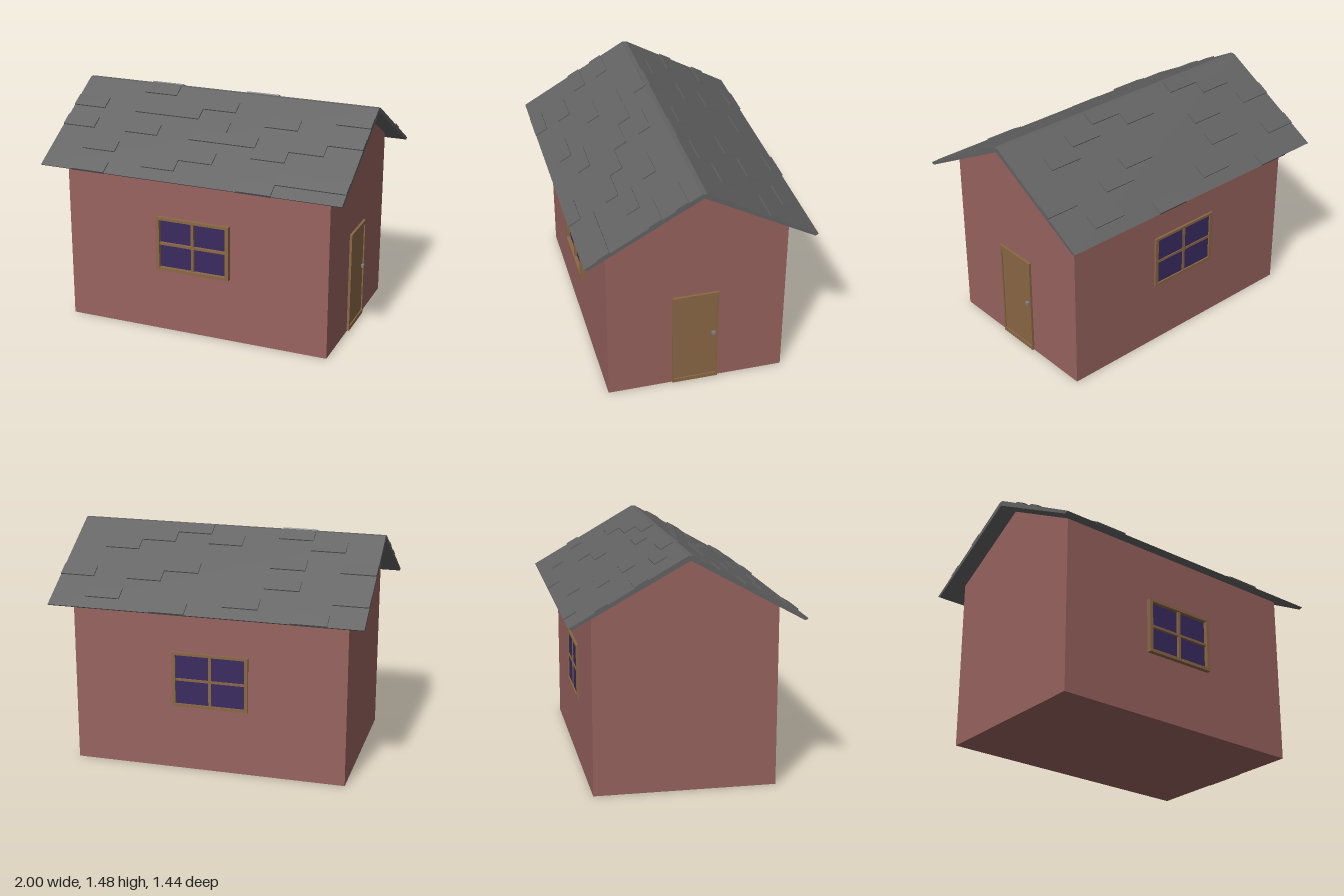
import * as THREE from 'three';

const mat = (color) => new THREE.MeshStandardMaterial({ color, flatShading: true });
const WALL = mat(0x98635f), ROOF = mat(0x626262), WOOD = mat(0x8a6746), GLASS = mat(0x3a2a60), METAL = mat(0x808080);

// Box given by its lower and upper corners
function box(name, material, [x0, y0, z0], [x1, y1, z1]) {
  const mesh = new THREE.Mesh(new THREE.BoxGeometry(x1 - x0, y1 - y0, z1 - z0), material);
  mesh.position.set((x0 + x1) / 2, (y0 + y1) / 2, (z0 + z1) / 2);
  mesh.name = name;
  return mesh;
}

// Outline in (z, y), extruded along x and centred
function gableExtrude(name, material, points, length) {
  const shape = new THREE.Shape(points.map(([z, y]) => new THREE.Vector2(-z, y)));
  const geo = new THREE.ExtrudeGeometry(shape, { depth: length, bevelEnabled: false });
  geo.translate(0, 0, -length / 2).rotateY(Math.PI / 2);
  const mesh = new THREE.Mesh(geo, material);
  mesh.name = name;
  return mesh;
}

// Flat rectangular frame with a rectangular opening, facing +z
function frame(name, [x0, y0, x1, y1], [a0, b0, a1, b1], z0, depth) {
  const rect = (path, l, b, r, t) => path.moveTo(l, b).lineTo(r, b).lineTo(r, t).lineTo(l, t).closePath();
  const shape = rect(new THREE.Shape(), x0, y0, x1, y1);
  shape.holes.push(rect(new THREE.Path(), a0, b0, a1, b1));
  const mesh = new THREE.Mesh(new THREE.ExtrudeGeometry(shape, { depth, bevelEnabled: false }), WOOD);
  mesh.position.z = z0;
  mesh.name = name;
  return mesh;
}

// Four-pane window facing +z, centred on x = 0
function makeWindow(name, depth) {
  const g = new THREE.Group();
  g.name = name;
  g.add(
    frame('windowFrame', [-0.248, 0.425, 0.248, 0.785], [-0.225, 0.445, 0.225, 0.768], 0, depth),
    box('windowGlass', GLASS, [-0.23, 0.44, -0.01], [0.23, 0.772, 0.004]),
    box('verticalBar', WOOD, [-0.009, 0.44, 0], [0.009, 0.772, depth * 0.7]),
    box('crossBar', WOOD, [-0.23, 0.598, 0], [0.23, 0.614, depth * 0.7]),
  );
  return g;
}

// Door facing +z, standing on y = 0
function makeDoor() {
  const g = new THREE.Group();
  g.name = 'door';
  g.add(
    frame('doorFrame', [-0.148, 0.005, 0.148, 0.675], [-0.136, 0.032, 0.136, 0.648], 0, 0.016),
    box('doorPanel', WOOD, [-0.138, 0.03, -0.01], [0.138, 0.65, 0.008]),
    box('doorHandle', METAL, [0.103, 0.35, 0.005], [0.128, 0.37, 0.024]),
  );
  return g;
}

// Raised tiles by row from ridge to eave, as column numbers
const FRONT_TILES = [[2], [4, 8], [0, 2, 3, 6], [4, 8], [0, 2, 4, 5, 7], [6], [1, 4], [3, 7, 8], [1, 6]];
const BACK_TILES = [[2, 5], [1, 4, 6], [7], [0, 2], [5], [2, 6, 8], [0], [3, 7], [1, 5]];

function tiles(name, rows) {
  const g = new THREE.Group();
  g.name = name;
  const ridge = new THREE.Vector2(0.015, 1.478), eave = new THREE.Vector2(0.718, 1.077);
  const slope = Math.atan2(ridge.y - eave.y, eave.x - ridge.x);
  const len = ridge.distanceTo(eave) / 9, width = 2 / 9, lift = 0.008;
  rows.forEach((cols, r) => cols.forEach((c) => {
    const p = ridge.clone().lerp(eave, (r + 0.5) / 9);
    const tile = new THREE.Mesh(new THREE.BoxGeometry(width, lift * 2, len), ROOF);
    tile.position.set(-1 + (c + 0.5) * width, p.y, p.x);
    tile.rotation.x = slope;
    tile.name = 'roofTile';
    g.add(tile);
  }));
  return g;
}

export function createModel() {
  const house = new THREE.Group();
  house.name = 'house';

  // Walls with gable ends
  house.add(gableExtrude('walls', WALL,
    [[0.57, 0], [-0.57, 0], [-0.57, 1.135], [0, 1.449], [0.57, 1.135]].reverse(), 1.77));

  // Pitched roof with overhang
  house.add(gableExtrude('roof', ROOF,
    [[0, 1.45], [0.698, 1.066], [0.718, 1.077], [0.015, 1.478],
      [-0.015, 1.478], [-0.718, 1.077], [-0.698, 1.066]], 2));
  const backTiles = tiles('backRoofTiles', BACK_TILES);
  backTiles.children.forEach((t) => { t.position.z *= -1; t.rotation.x *= -1; });
  house.add(tiles('frontRoofTiles', FRONT_TILES), backTiles);

  // Windows on the long walls
  const frontWindow = makeWindow('frontWindow', 0.03);
  frontWindow.position.set(-0.012, 0, 0.57);
  const backWindow = makeWindow('backWindow', 0.014);
  backWindow.position.set(-0.012, 0, -0.57);
  backWindow.rotation.y = Math.PI;

  // Door on the left gable
  const door = makeDoor();
  door.position.set(0.885, 0, 0.008);
  door.rotation.y = Math.PI / 2;
  house.add(frontWindow, backWindow, door);
  return house;
}
